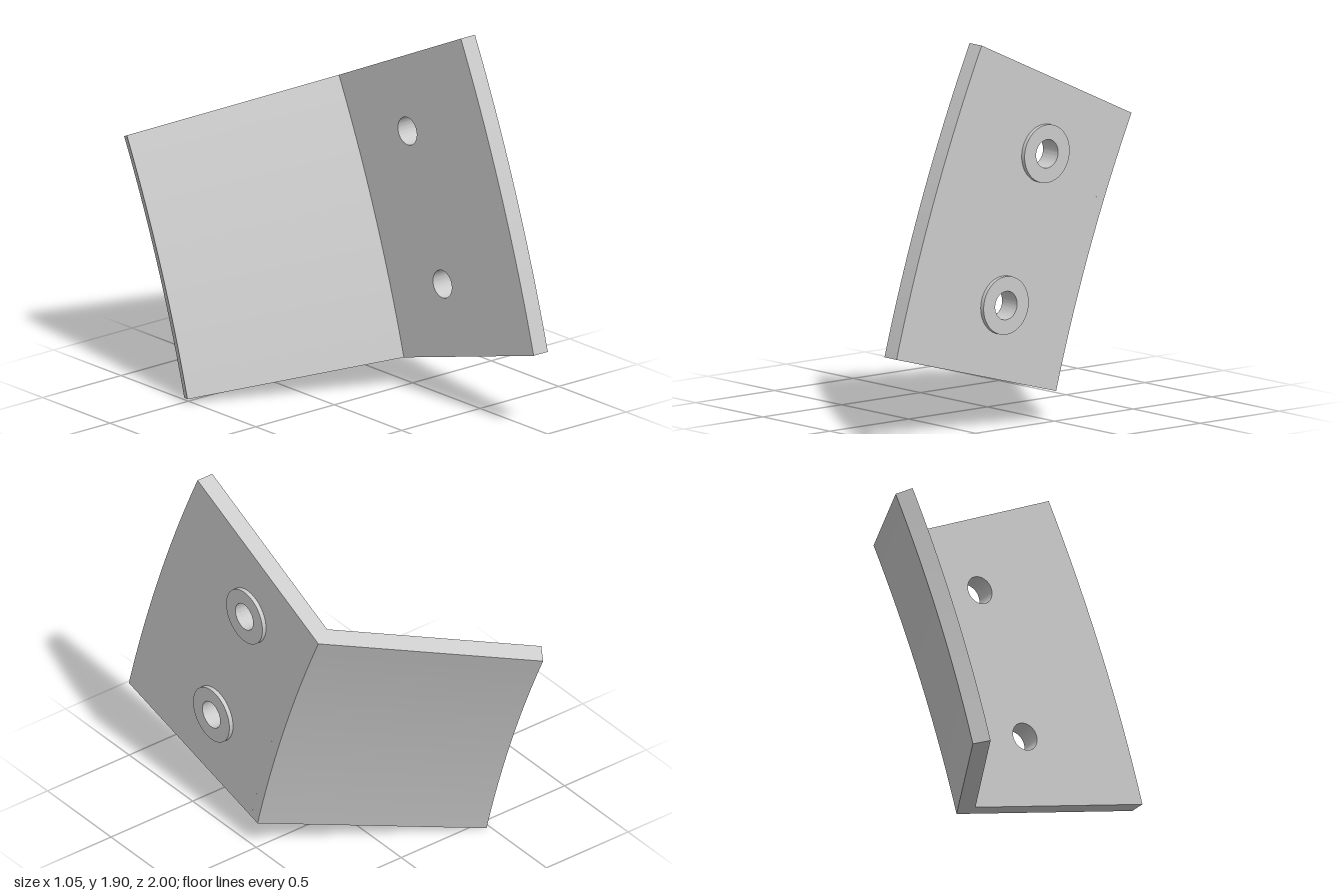
import * as THREE from 'three';
import { toCreasedNormals } from 'three/addons/utils/BufferGeometryUtils.js';

// Both leaves are swept about one far axis parallel to x
const AXIS_Z = -7.84, AXIS_Y = -1.97;
const A0 = THREE.MathUtils.degToRad(15.13), A1 = THREE.MathUtils.degToRad(25);
const R_FRONT = 9.16, R_FOLD = 8.162;
const X_IN = 0.41, X_OUT = 0.5;
const HOLES = [[0.065, 1.325], [0.325, 0.61]]; // z, y
const HOLE_R = 0.07, BOSS_R = 0.143, BOSS_H = 0.022;

const material = new THREE.MeshStandardMaterial({ color: 0xcccccc });

function addMesh(group, name, geometry) {
  const mesh = new THREE.Mesh(toCreasedNormals(geometry, 0.5), material);
  mesh.name = name;
  group.add(mesh);
}

function circle(path, z, y, r) {
  path.absarc(z, y, r, 0, Math.PI * 2, false);
  return path;
}

// Extrude a (z, y) outline along x, from xMin to xMax
function extrudeAlongX(shape, xMin, xMax) {
  return new THREE.ExtrudeGeometry(shape, { depth: xMax - xMin, bevelEnabled: false, curveSegments: 32 })
    .rotateY(-Math.PI / 2)
    .translate(xMax, 0, 0);
}

// Sweep a (radius, x) cross-section around the far axis
function sweepSection(points) {
  const shape = new THREE.Shape(points.map(([r, x]) => new THREE.Vector2(r, x)));
  const geometry = new THREE.ExtrudeGeometry(shape, { depth: 1, steps: 32, bevelEnabled: false });
  const pos = geometry.attributes.position;
  for (let i = 0; i < pos.count; i++) {
    const r = pos.getX(i), x = pos.getY(i);
    const a = A0 + (A1 - A0) * pos.getZ(i);
    pos.setXYZ(i, x, AXIS_Y + r * Math.sin(a), AXIS_Z + r * Math.cos(a));
  }
  return geometry;
}

export function createModel() {
  const group = new THREE.Group();
  group.name = 'angledBracket';

  // Flat leaf with curved edges and two through holes
  const plate = new THREE.Shape();
  plate.absarc(AXIS_Z, AXIS_Y, R_FRONT, A0, A1, false);
  plate.absarc(AXIS_Z, AXIS_Y, R_FOLD, A1, A0, true);
  plate.closePath();
  for (const [z, y] of HOLES) plate.holes.push(circle(new THREE.Path(), z, y, HOLE_R));
  addMesh(group, 'mountingPlate', extrudeAlongX(plate, X_IN, X_OUT));

  // Conical leaf, including the mitred corner at the fold
  addMesh(group, 'slantedFlange', sweepSection([
    [R_FOLD, X_IN], [R_FOLD, X_OUT], [8.11, X_OUT], [7.547, -0.48], [7.624, -0.523],
  ]));

  // Raised rings around the holes
  for (const [z, y] of HOLES) {
    const ring = circle(new THREE.Shape(), z, y, BOSS_R);
    ring.holes.push(circle(new THREE.Path(), z, y, HOLE_R));
    addMesh(group, 'holeBoss', extrudeAlongX(ring, X_OUT, X_OUT + BOSS_H));
  }
  return group;
}
